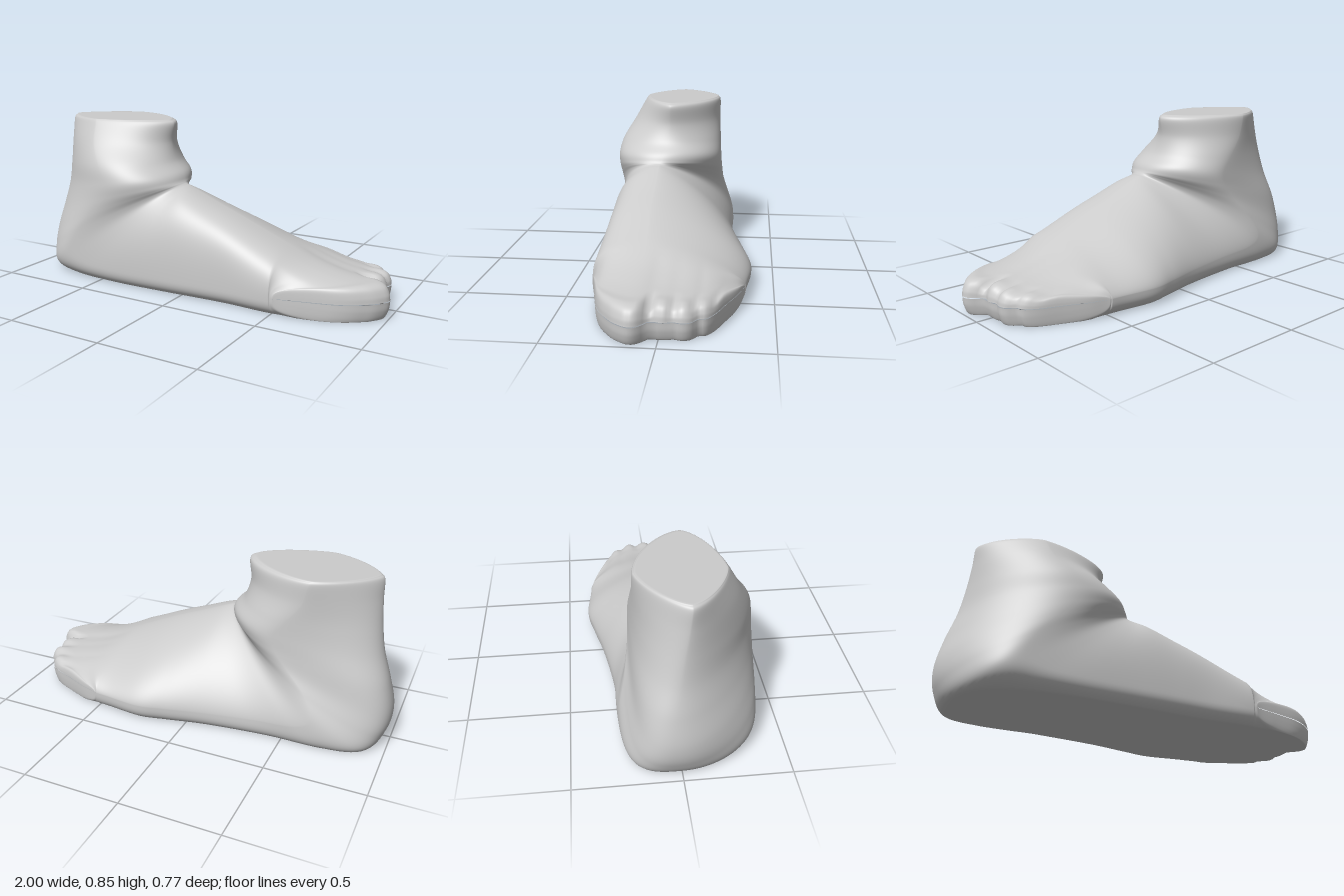
import * as THREE from 'three';

const SOLE = 0.012;

// Sections fanning from the cut ankle round the heel. Each row:
// front x,y | back x,y | z min,max | widest point (0 back..1 front) |
// z at front, z at back | roundness: back half, front right, front left
const ankle = [
  [-0.23, 0.858, -0.86, 0.858, -0.175, 0.235, 0.44, 0.07, 0.04, 1.4, 1.2, 1.35],
  [-0.2, 0.835, -0.88, 0.835, -0.187, 0.252, 0.45, 0.07, 0.04, 1.4, 1.15, 1.35],
  [-0.212, 0.74, -0.885, 0.74, -0.188, 0.305, 0.5, 0.07, 0.03, 1.3, 1.1, 1.2],
  [-0.185, 0.65, -0.9, 0.61, -0.195, 0.365, 0.6, 0.08, 0.01, 1.2, 1.05, 1],
  [-0.13, 0.59, -0.925, 0.48, -0.2, 0.385, 0.64, 0.1, -0.01, 1.1, 1.05, 0.98],
  [-0.112, 0.555, -0.97, 0.34, -0.203, 0.385, 0.62, 0.11, -0.03, 1.0, 1.1, 0.96],
  [-0.105, 0.545, -1.0, 0.2, -0.212, 0.382, 0.55, 0.12, -0.03, 0.92, 1.15, 0.96],
  [-0.1, 0.541, -0.985, 0.09, -0.235, 0.38, 0.43, 0.12, -0.03, 0.85, 1.22, 0.95],
  [-0.094, 0.538, -0.92, 0.0, -0.264, 0.38, 0.32, 0.12, -0.02, 0.75, 1.28, 0.95],
  [-0.087, 0.535, -0.74, -0.025, -0.274, 0.38, 0.26, 0.12, 0.01, 0.68, 1.3, 0.95],
  [-0.07, 0.53, -0.45, -0.03, -0.276, 0.38, 0.24, 0.12, 0.04, 0.66, 1.3, 0.95],
];

// Upright sections towards the toes: x, top y, bottom y, z min, z max, ridge z
const forefoot = [
  [-0.02, 0.51, -0.03, -0.315, 0.373, 0.12],
  [0.1, 0.46, -0.03, -0.36, 0.365, 0.12],
  [0.25, 0.4, -0.03, -0.388, 0.362, 0.12],
  [0.45, 0.313, -0.03, -0.367, 0.37, 0.11],
  [0.62, 0.24, -0.03, -0.36, 0.365, 0.11],
  [0.75, 0.203, -0.03, -0.36, 0.365, 0.11],
  [0.86, 0.185, -0.03, -0.36, 0.365, 0.11],
  [0.935, 0.182, -0.02, -0.36, 0.365, 0.11],
  [0.975, 0.166, 0.01, -0.36, 0.365, 0.11],
  [0.995, 0.132, 0.055, -0.36, 0.365, 0.11],
  [1.0, 0.102, 0.098, -0.36, 0.365, 0.11],
].map(([x, top, low, z0, z1, ridge], i) => [
  x, top, i ? x : x - 0.1, low, z0, z1, (0.1 - low) / (top - low), ridge, (z0 + z1) / 2, 0.68,
  i < 4 ? 1.28 : 0.95, 0.9,
]);

// How far forward the toes reach at each z, little toe to big toe
const toeLine = [
  [-0.39, 0.5], [-0.365, 0.5], [-0.33, 0.6], [-0.28, 0.72], [-0.235, 0.83], [-0.2, 0.88],
  [-0.165, 0.89], [-0.14, 0.925], [-0.1, 0.94], [-0.06, 0.93], [-0.02, 0.945], [0.02, 0.935],
  [0.045, 0.94], [0.075, 0.98], [0.115, 1], [0.16, 0.98], [0.21, 0.935], [0.29, 0.8],
  [0.33, 0.65], [0.365, 0.52], [0.39, 0.5],
];
const toeReach = new THREE.CubicInterpolant(toeLine.map((p) => p[0]), toeLine.map((p) => p[1]), 1);

// Grooves between the toes: z, depth
const grooves = [[0.042, 0.45], [-0.065, 0.25], [-0.15, 0.25], [-0.235, 0.25]];

// Pulls the front of the foot back to the toe line and presses in the grooves
function shapeToes(p) {
  if (p.x <= 0.5) return p;
  const reach = toeReach.evaluate(p.z)[0];
  p.x = 0.5 + (p.x - 0.5) * (reach - 0.5) / 0.5;
  const fade = THREE.MathUtils.smoothstep(p.x, reach - 0.15, reach - 0.02);
  for (const [z, depth] of grooves) {
    if (p.y > 0.1) p.y -= (p.y - 0.1) * depth * fade * Math.exp(-(((p.z - z) / 0.02) ** 2));
  }
  return p;
}

// One closed section from an interpolated row
function sectionPoints(row, sides) {
  const [ax, ay, bx, by, z0, z1, m, za, zb, eBack, eRight, eLeft] = row;
  const zc = (z0 + z1) / 2, w = (z1 - z0) / 2;
  const pts = [];
  for (let j = 0; j < sides; j++) {
    const a = (j / sides) * Math.PI * 2, c = Math.cos(a), s = Math.sin(a);
    const e = s < 0 ? eBack : c < 0 ? eRight : eLeft;
    const rise = Math.pow(Math.abs(s), e);
    const along = s < 0 ? m - m * rise : m + (1 - m) * rise;
    const z = zc + w * Math.sign(c) * Math.pow(Math.abs(c), e) + ((s < 0 ? zb : za) - zc) * s * s;
    const y = Math.max(SOLE, by + (ay - by) * along);
    pts.push(shapeToes(new THREE.Vector3(bx + (ax - bx) * along, y, z)));
  }
  return pts;
}

// Smooth skin through all the sections, capped at the ankle cut
function footGeometry() {
  const rows = [...ankle, ...forefoot], sides = 160, steps = 8;
  const spline = new THREE.CubicInterpolant(rows.map((_, i) => i), rows.flat(), 12);
  const rings = [];
  for (let i = 0; i <= (rows.length - 1) * steps; i++) {
    rings.push(sectionPoints(Array.from(spline.evaluate(i / steps)), sides));
  }
  const rim = rings[0];
  const centre = rim.reduce((sum, p) => sum.add(p), new THREE.Vector3()).divideScalar(sides);
  rings.unshift(...[0.001, 0.6, 0.96].map((k) => rim.map((p) => centre.clone().lerp(p, k))));

  const index = [];
  for (let i = 0; i < rings.length - 1; i++) {
    for (let j = 0; j < sides; j++) {
      const k = (j + 1) % sides;
      const a = i * sides + j, b = i * sides + k, c = a + sides, d = b + sides;
      index.push(a, c, b, b, c, d);
    }
  }
  const geo = new THREE.BufferGeometry().setFromPoints(rings.flat());
  geo.setIndex(index);
  geo.computeVertexNormals();
  return geo;
}

export function createModel() {
  const group = new THREE.Group();
  group.name = 'foot';
  const skin = new THREE.Mesh(footGeometry(), new THREE.MeshStandardMaterial({ color: 0xcccccc }));
  skin.name = 'footAnkleAndToes';
  group.add(skin);
  return group;
}
